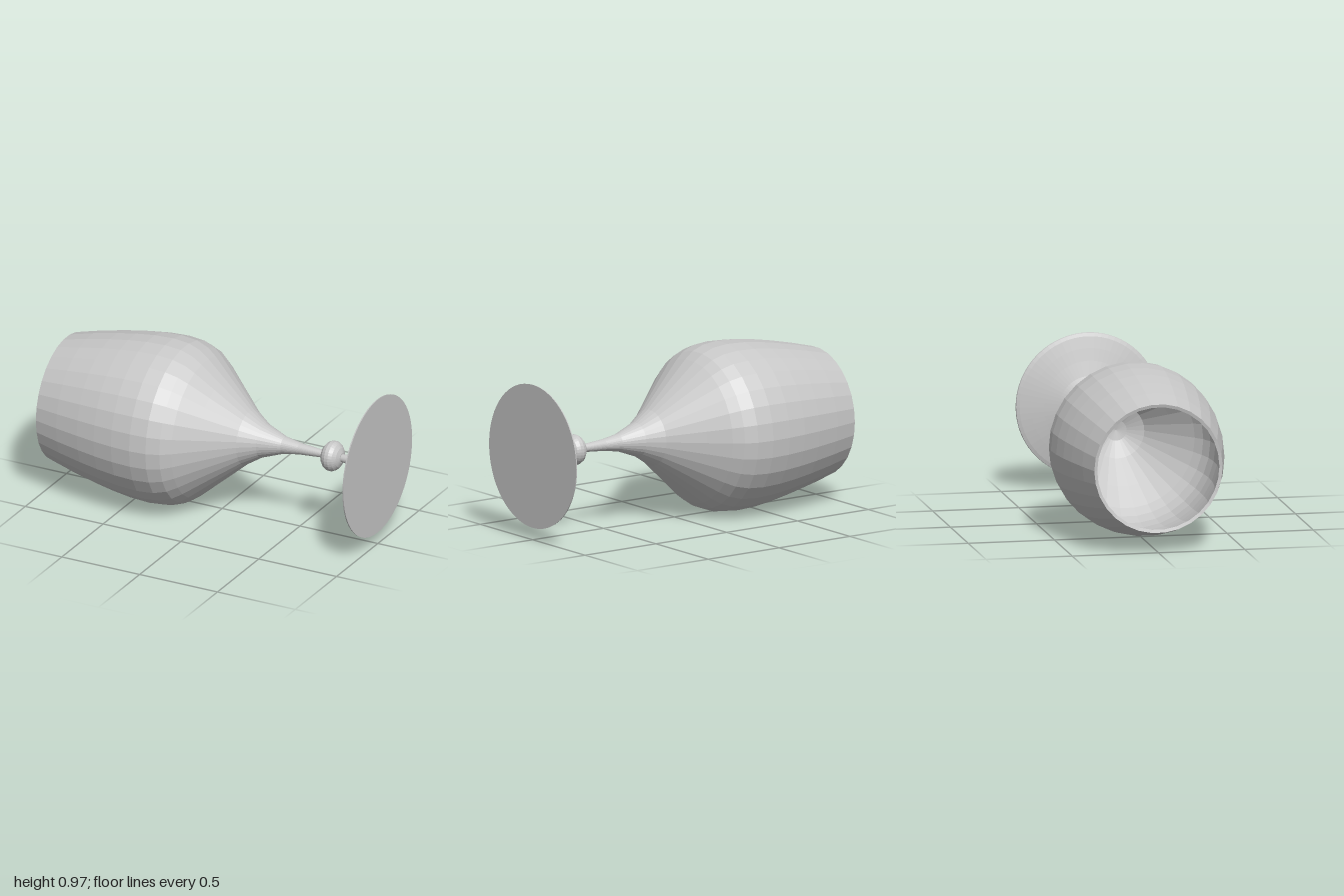
import * as THREE from 'three';

const AXIS_HEIGHT = 0.489;

// Profiles are [position along the axis, radius]
const outerBowl = [
  [-1, 0.372], [-0.85, 0.411], [-0.7, 0.444], [-0.58, 0.466], [-0.46, 0.482], [-0.34, 0.488],
  [-0.24, 0.479], [-0.165, 0.452], [-0.11, 0.412], [0, 0.315], [0.175, 0.162], [0.27, 0.1],
  [0.4, 0.051], [0.5, 0.034], [0.65, 0.022],
];
const innerBowl = [
  [0.2, 0], [0.19, 0.06], [0.15, 0.155], [0, 0.288], [-0.12, 0.392], [-0.175, 0.43],
  [-0.245, 0.456], [-0.34, 0.466], [-0.46, 0.46], [-0.58, 0.444], [-0.7, 0.423],
  [-0.85, 0.39], [-0.995, 0.354],
];
const foot = [
  [0.76, 0.022], [0.84, 0.03], [0.87, 0.045], [0.89, 0.065], [0.91, 0.1], [0.935, 0.175],
  [0.955, 0.26], [0.97, 0.33], [0.985, 0.395], [0.992, 0.414], [1, 0.416], [1, 0],
];

export function createModel() {
  const grey = new THREE.MeshStandardMaterial({ color: 0xc8c8c8 });
  grey.name = 'grey';
  grey.flatShading = true;

  const goblet = new THREE.Group();
  goblet.name = 'goblet';

  const turn = (name, profile, sides) => {
    const points = profile.map(([along, radius]) => new THREE.Vector2(radius, along));
    const mesh = new THREE.Mesh(new THREE.LatheGeometry(points, sides), grey);
    mesh.name = name;
    goblet.add(mesh);
  };

  // Hollow bowl running into the slim stem
  turn('bowlAndStem', [...innerBowl, ...outerBowl, [0.78, 0.022]], 30);

  // Flattened bead on the stem
  const bead = [];
  for (let i = 0; i <= 9; i++) {
    const a = (i / 9) * Math.PI;
    bead.push([0.71 - 0.064 * Math.cos(a), 0.089 * Math.sin(a)]);
  }
  turn('stemBead', bead, 30);

  // Flared foot with a flat base
  turn('foot', foot, 64);

  // Lay the goblet on its side, rim towards -x
  goblet.rotation.z = -Math.PI / 2;
  goblet.position.y = AXIS_HEIGHT;

  const model = new THREE.Group();
  model.name = 'lyingGoblet';
  model.add(goblet);
  return model;
}
